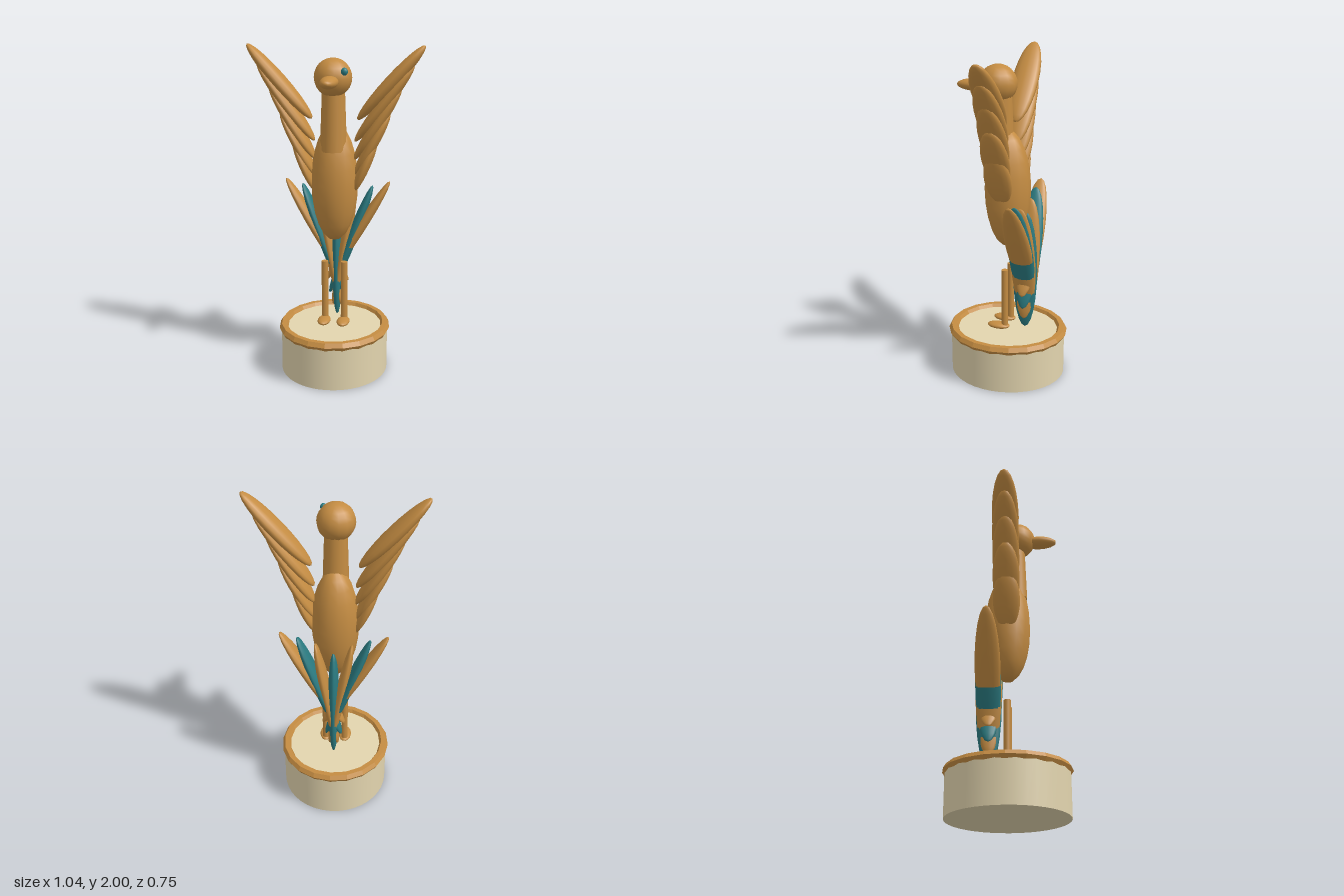
import * as THREE from 'three';

export function createModel() {
  const model = new THREE.Group();
  const mat = (name, color) => {
    const m = new THREE.MeshStandardMaterial({ color });
    m.name = name;
    return m;
  };
  const gold = mat('gold', 0xc48c42);
  const teal = mat('teal', 0x2a7a80);
  const cream = mat('cream', 0xe2d4ae);

  const add = (name, geometry, material, x, y, z, parent = model) => {
    const mesh = new THREE.Mesh(geometry, material);
    mesh.name = name;
    mesh.position.set(x, y, z);
    parent.add(mesh);
    return mesh;
  };
  const ball = new THREE.SphereGeometry(1, 14, 12);
  const ellipsoid = (name, material, [x, y, z], [rx, ry, rz], parent) => {
    const mesh = add(name, ball, material, x, y, z, parent);
    mesh.scale.set(rx, ry, rz);
    return mesh;
  };

  // Oval drum pedestal with a faceted rim
  add('pedestal', new THREE.CylinderGeometry(0.33, 0.33, 0.28, 40), cream, 0, 0.14, 0).scale.z = 1.09;
  const rimGeometry = new THREE.TorusGeometry(0.315, 0.029, 6, 20).toNonIndexed();
  rimGeometry.computeVertexNormals();
  rimGeometry.rotateX(Math.PI / 2);
  add('pedestalRim', rimGeometry, gold, 0, 0.275, 0).scale.z = 1.09;

  // Body, neck and head
  ellipsoid('body', gold, [0, 1.19, 0], [0.142, 0.36, 0.14]);
  add('neck', new THREE.CylinderGeometry(0.067, 0.08, 0.36, 14), gold, 0, 1.57, 0.042);
  ellipsoid('head', gold, [0, 1.82, 0.06], [0.112, 0.112, 0.115]);
  ellipsoid('beak', gold, [0, 1.805, 0.2], [0.052, 0.036, 0.113]);
  ellipsoid('eye', teal, [0.08, 1.862, 0.152], [0.02, 0.022, 0.018]);

  // Legs and feet
  for (const side of [-1, 1]) {
    add('leg', new THREE.CylinderGeometry(0.021, 0.021, 0.38, 10), gold, side * 0.06, 0.5, 0);
    ellipsoid('foot', gold, [side * 0.06, 0.313, 0.04], [0.04, 0.02, 0.072]);
  }

  // Raised wings: five feathers each, [root x, root y, tip x, tip y, thickness]
  const feathers = [
    [0.135, 1.57, 0.52, 2.0, 0.042],
    [0.12, 1.44, 0.46, 1.89, 0.037],
    [0.115, 1.33, 0.39, 1.76, 0.035],
    [0.115, 1.23, 0.325, 1.61, 0.033],
    [0.11, 1.13, 0.25, 1.455, 0.032],
  ];
  for (const side of [-1, 1]) {
    const wing = new THREE.Group();
    wing.name = side > 0 ? 'leftWing' : 'rightWing';
    model.add(wing);
    for (const [x0, y0, x1, y1, t] of feathers) {
      const dx = x1 - x0, dy = y1 - y0;
      const feather = ellipsoid('wingFeather', gold, [side * (x0 + x1) / 2, (y0 + y1) / 2, 0],
        [t, Math.hypot(dx, dy) / 2, 0.084], wing);
      feather.rotation.z = -side * Math.atan2(dx, dy);
    }
  }

  // Tail: a fan of seven feathers in alternating colours
  const tail = new THREE.Group();
  tail.name = 'tail';
  model.add(tail);
  for (let i = -3; i <= 3; i++) {
    const feather = ellipsoid('tailFeather', i % 2 ? gold : teal,
      [i * 0.042, 0.68 + Math.abs(i) * 0.058, -0.112], [0.034, 0.38, 0.078], tail);
    feather.rotation.z = -i * 0.18;
  }

  return model;
}
